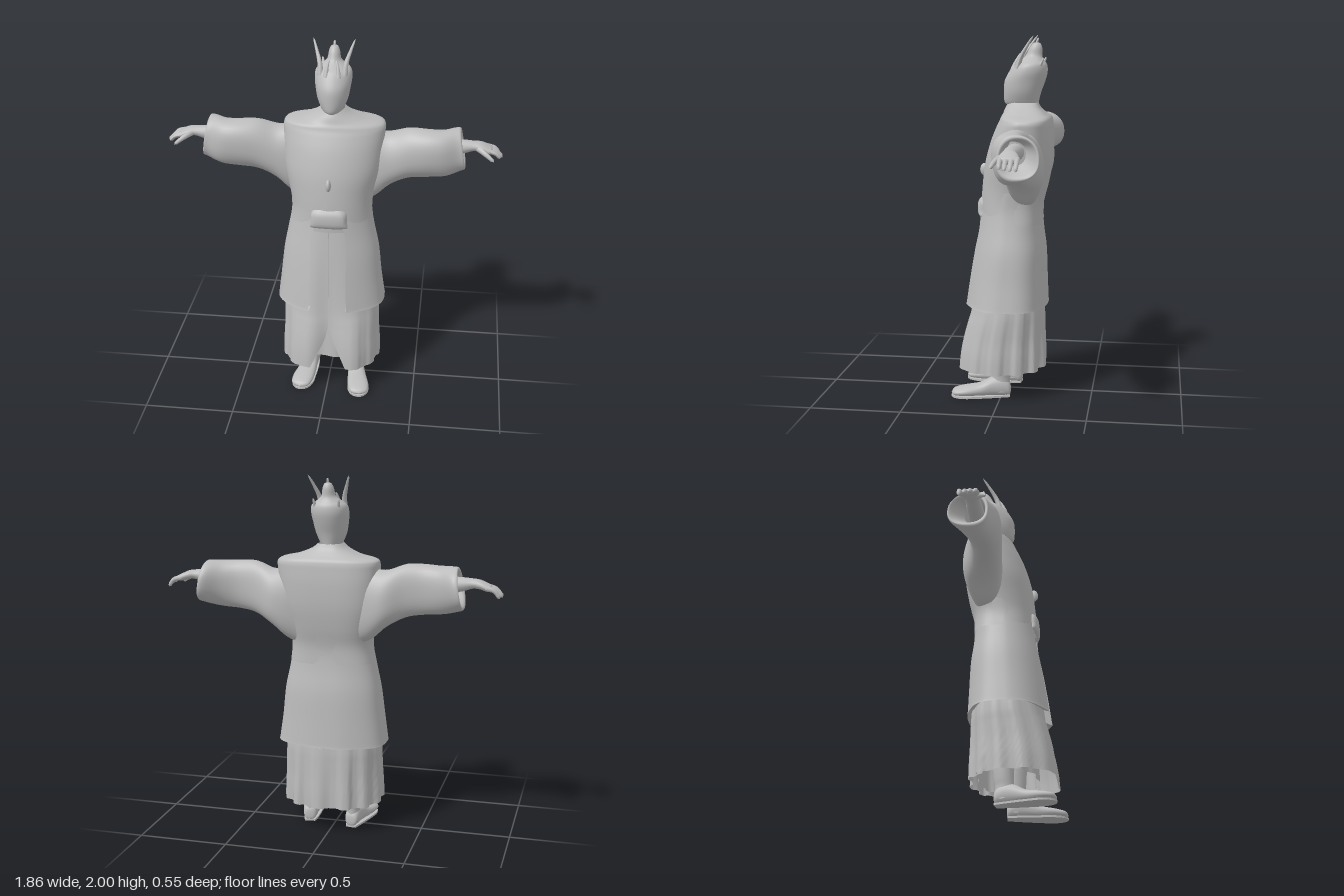
import * as THREE from 'three';

const cloth = new THREE.MeshStandardMaterial({ color: 0xbcbcbc, side: THREE.DoubleSide });
cloth.name = 'plain grey';

// Smooth interpolation through four values
const spline = (a, b, c, d, t) => {
  const m0 = (c - a) / 2, m1 = (d - b) / 2, t2 = t * t, t3 = t2 * t;
  return (2 * t3 - 3 * t2 + 1) * b + (t3 - 2 * t2 + t) * m0 + (-2 * t3 + 3 * t2) * c + (t3 - t2) * m1;
};

// Axis orders keep the handedness, so faces always point outwards
const place = {
  y: (p, t, q) => [p, t, q],
  x: (p, t, q) => [t, q, p],
  z: (p, t, q) => [q, p, t],
};

// Skin over rings [along, pMin, pMax, qMin, qMax, half angle of the opening];
// front and back set how square (below 1) or pointed (above 1) each half is
function loft(name, rings, { axis = 'y', sides = 40, steps = 4, front = 0.9, back = 0.85, fold = null } = {}) {
  const pos = [], index = [], n = rings.length;
  const open = rings.some(r => r[5]);
  const rows = (n - 1) * steps + 1, cols = open ? sides + 1 : sides;
  for (let i = 0; i < rows; i++) {
    const k = Math.min(Math.floor(i / steps), n - 2), f = i / steps - k;
    const at = j => rings[Math.max(0, Math.min(n - 1, j))];
    const [t, p0, p1, q0, q1, gap] = [0, 1, 2, 3, 4, 5].map(c =>
      spline(at(k - 1)[c] || 0, at(k)[c] || 0, at(k + 1)[c] || 0, at(k + 2)[c] || 0, f));
    for (let j = 0; j < cols; j++) {
      const g = Math.max(0, gap), a = g + (j / sides) * (2 * Math.PI - 2 * g);
      const s = Math.sin(a), c = Math.cos(a), e = c > 0 ? front : back;
      const m = 1 + (fold ? fold(a, i / (rows - 1)) : 0);
      pos.push(...place[axis](
        (p0 + p1) / 2 + (p1 - p0) / 2 * m * Math.sign(s) * Math.abs(s) ** e, t,
        (q0 + q1) / 2 + (q1 - q0) / 2 * m * Math.sign(c) * Math.abs(c) ** e));
    }
  }
  for (let i = 0; i < rows - 1; i++) for (let j = 0; j < sides; j++) {
    const j2 = (j + 1) % cols, a = i * cols + j, b = i * cols + j2;
    index.push(a, b, b + cols, a, b + cols, a + cols);
  }
  const geo = new THREE.BufferGeometry();
  geo.setAttribute('position', new THREE.Float32BufferAttribute(pos, 3));
  geo.setIndex(index);
  geo.computeVertexNormals();
  return named(name, geo);
}

function named(name, geo) {
  const mesh = new THREE.Mesh(geo, cloth);
  mesh.name = name;
  return mesh;
}

// Curved tube that narrows towards its tip
function taper(name, points, r0, r1) {
  const curve = new THREE.CatmullRomCurve3(points.map(p => new THREE.Vector3(...p)));
  const segs = 10, sides = 8, geo = new THREE.TubeGeometry(curve, segs, r0, sides);
  const p = geo.attributes.position, v = new THREE.Vector3();
  for (let i = 0; i < p.count; i++) {
    const u = Math.floor(i / (sides + 1)) / segs, c = curve.getPointAt(u);
    const k = u === 1 ? 0 : 1 + (r1 / r0 - 1) * u;
    v.fromBufferAttribute(p, i).sub(c).multiplyScalar(k).add(c);
    p.setXYZ(i, v.x, v.y, v.z);
  }
  geo.computeVertexNormals();
  return named(name, geo);
}

// Sleeve, forearm and hand on the +x side
function makeArm() {
  const arm = new THREE.Group();
  arm.name = 'arm';
  const sleeve = loft('sleeve', [
    [0.17, -0.22, -0.05, 1.08, 1.50], [0.24, -0.24, -0.035, 1.11, 1.49],
    [0.32, -0.245, -0.03, 1.18, 1.485], [0.42, -0.20, -0.02, 1.235, 1.52],
    [0.52, -0.185, -0.01, 1.255, 1.525], [0.61, -0.21, -0.015, 1.265, 1.52],
    [0.685, -0.26, -0.045, 1.285, 1.52], [0.715, -0.265, -0.052, 1.295, 1.515],
    [0.705, -0.25, -0.07, 1.32, 1.495], [0.62, -0.19, -0.06, 1.36, 1.48],
  ], { axis: 'x', fold: (a, u) => 0.04 * Math.sin(3 * a + 9 * u) * Math.sin(Math.PI * u) });
  // Slant the cuff so its lower edge reaches further out
  const p = sleeve.geometry.attributes.position;
  for (let i = 0; i < p.count; i++) {
    const x = p.getX(i);
    p.setX(i, x - 0.16 * (p.getY(i) - 1.4) * THREE.MathUtils.smoothstep(x, 0.5, 0.7));
  }
  sleeve.geometry.computeVertexNormals();
  arm.add(sleeve);
  arm.add(loft('forearmAndPalm', [
    [0.56, -0.175, -0.08, 1.375, 1.465], [0.70, -0.17, -0.085, 1.385, 1.465],
    [0.77, -0.165, -0.09, 1.405, 1.46], [0.81, -0.178, -0.085, 1.405, 1.455],
    [0.85, -0.188, -0.078, 1.395, 1.438], [0.87, -0.18, -0.09, 1.40, 1.428],
    [0.875, -0.14, -0.14, 1.415, 1.415],
  ], { axis: 'x', sides: 16, front: 1, back: 1 }));
  for (let i = 0; i < 4; i++) {
    const z = -0.175 + i * 0.026, end = 0.92 + [0, 0.012, 0.012, 0][i];
    arm.add(taper('finger', [[0.845, 1.418, z], [0.89, 1.405, z - 0.003 + i * 0.002], [end, 1.365 + i * 0.004, z]], 0.015, 0.009));
  }
  arm.add(taper('thumb', [[0.79, 1.43, -0.11], [0.835, 1.41, -0.07], [0.885, 1.375, -0.047]], 0.019, 0.009));
  return arm;
}

// Bare lower leg with a flat-soled shoe
function makeLeg(side) {
  const leg = new THREE.Group();
  leg.name = side > 0 ? 'leftLeg' : 'rightLeg';
  leg.add(loft('shin', [
    [0.03, -0.04, 0.04, -0.07, 0.03], [0.10, -0.037, 0.037, -0.07, 0.03],
    [0.18, -0.045, 0.045, -0.08, 0.03], [0.50, -0.06, 0.06, -0.10, 0.05],
  ], { sides: 20, front: 1, back: 1 }));
  leg.add(loft('shoe', [
    [-0.074, 0.04, 0.04, 0, 0], [-0.068, 0.008, 0.08, -0.032, 0.032],
    [-0.03, 0.004, 0.115, -0.042, 0.042], [0.03, 0.004, 0.11, -0.045, 0.045],
    [0.10, 0.004, 0.075, -0.052, 0.055], [0.18, 0.006, 0.06, -0.055, 0.066],
    [0.24, 0.01, 0.045, -0.04, 0.055], [0.258, 0.022, 0.025, 0.005, 0.012],
  ], { axis: 'z', sides: 20 }));
  const sole = new THREE.Shape();
  sole.moveTo(-0.03, 0.07);
  sole.bezierCurveTo(-0.05, 0, -0.05, -0.08, -0.056, -0.16);
  sole.bezierCurveTo(-0.058, -0.29, 0.068, -0.29, 0.068, -0.17);
  sole.bezierCurveTo(0.06, -0.08, 0.045, 0, 0.03, 0.07);
  const soleGeo = new THREE.ExtrudeGeometry(sole, { depth: 0.011, bevelEnabled: false });
  leg.add(named('sole', soleGeo.rotateX(-Math.PI / 2)));
  leg.position.set(side > 0 ? 0.155 : -0.115, 0, side > 0 ? 0.02 : -0.015);
  leg.rotation.y = side * 0.13;
  leg.scale.x = side;
  return leg;
}

export function createModel() {
  const model = new THREE.Group();
  model.name = 'robedFigure';

  // Coat: closed chest with broad flat shoulders
  model.add(loft('coatBody', [
    [0.98, -0.235, 0.235, -0.212, 0.128], [1.08, -0.22, 0.225, -0.215, 0.128],
    [1.18, -0.235, 0.235, -0.24, 0.122], [1.30, -0.262, 0.267, -0.262, 0.107],
    [1.42, -0.27, 0.28, -0.268, 0.075], [1.50, -0.272, 0.288, -0.264, 0.043],
    [1.535, -0.272, 0.288, -0.26, 0.026], [1.556, -0.255, 0.265, -0.252, 0.018],
    [1.575, -0.17, 0.18, -0.23, 0.008], [1.605, -0.1, 0.105, -0.2, -0.003],
    [1.635, -0.065, 0.065, -0.185, -0.02],
  ], { front: 1, back: 0.65, sides: 56 }));

  // Coat skirt, open at the front
  model.add(loft('coatSkirt', [
    [0.535, -0.27, 0.275, -0.21, 0.17, 0.42], [0.515, -0.303, 0.312, -0.242, 0.222, 0.4],
    [0.53, -0.303, 0.312, -0.243, 0.222, 0.4], [0.66, -0.287, 0.292, -0.238, 0.203, 0.41],
    [0.82, -0.268, 0.273, -0.232, 0.176, 0.43], [0.95, -0.242, 0.245, -0.216, 0.15, 0.45],
    [1.06, -0.223, 0.228, -0.213, 0.134, 0.3], [1.16, -0.23, 0.233, -0.236, 0.124, 0.04],
  ], { front: 1.12, back: 0.8, sides: 56, fold: (a, u) => 0.018 * Math.cos(6 * a) * (1 - u) }));

  // Pleated robe, drawn in at the middle of the front and slit at the bottom
  const pleats = (a, u) => {
    const pleat = 0.05 * Math.tanh(3 * Math.sin(13 * a)) * (0.6 - 0.4 * Math.cos(a));
    const middle = Math.min(a, 2 * Math.PI - a) / 0.35;
    return (1 - u) * (pleat - 0.45 * Math.exp(-middle * middle));
  };
  model.add(loft('robe', [
    [0.155, -0.265, 0.285, -0.228, 0.28, 0.42], [0.24, -0.265, 0.285, -0.228, 0.27, 0.28],
    [0.33, -0.262, 0.28, -0.226, 0.25, 0.1], [0.42, -0.262, 0.278, -0.225, 0.222, 0.01],
    [0.52, -0.26, 0.27, -0.222, 0.192, 0.01], [0.80, -0.225, 0.23, -0.2, 0.148, 0.01],
    [1.08, -0.19, 0.19, -0.17, 0.1, 0.01],
  ], { sides: 120, front: 1, fold: pleats }));
  model.add(loft('lining', [
    [0.17, -0.22, 0.235, -0.19, 0.13], [0.35, -0.22, 0.23, -0.19, 0.12], [0.55, -0.2, 0.2, -0.17, 0.1],
  ], { sides: 90, fold: a => 0.05 * Math.sin(11 * a) }));

  // Draped sash and its knot
  model.add(loft('sash', [
    [0.995, -0.085, 0.085, 0.05, 0.11], [1.01, -0.108, 0.112, 0.05, 0.135],
    [1.04, -0.10, 0.105, 0.05, 0.146], [1.09, -0.095, 0.1, 0.05, 0.142], [1.125, -0.075, 0.08, 0.05, 0.115],
  ], { front: 0.6, back: 0.6, sides: 28, fold: (a, u) => 0.03 * Math.sin(7 * a + 5 * u) }));
  const knot = named('knot', new THREE.SphereGeometry(1, 14, 10));
  knot.scale.set(0.015, 0.035, 0.025);
  knot.position.set(0, 1.26, 0.115);
  model.add(knot);

  // Arms, the right one held a little higher
  const left = makeArm(), right = makeArm();
  left.name = 'leftArm';
  right.name = 'rightArm';
  right.scale.x = -1;
  right.position.y = 0.015;
  model.add(left, right, makeLeg(1), makeLeg(-1));

  // Head with the hair drawn up into a topknot
  model.add(loft('head', [
    [1.56, -0.065, 0.065, -0.19, -0.03], [1.612, -0.047, 0.047, -0.187, -0.02],
    [1.635, -0.06, 0.06, -0.187, 0.002], [1.69, -0.083, 0.083, -0.2, 0.006],
    [1.75, -0.095, 0.095, -0.222, 0.002], [1.80, -0.102, 0.102, -0.235, -0.022],
    [1.84, -0.095, 0.095, -0.232, -0.05], [1.865, -0.065, 0.065, -0.215, -0.085],
    [1.89, -0.038, 0.038, -0.205, -0.115], [1.93, -0.03, 0.03, -0.205, -0.135],
    [1.955, -0.018, 0.018, -0.195, -0.155], [1.96, 0, 0, -0.175, -0.175],
  ], { sides: 28, front: 1.05, back: 0.95 }));
  model.add(taper('topPin', [[0, 1.93, -0.165], [0, 1.96, -0.175], [0, 1.985, -0.185]], 0.01, 0.005));

  // Crown: tall curved horns, short front and back points
  for (const s of [-1, 1]) {
    model.add(taper('crownHorn', [[s * 0.065, 1.82, -0.075], [s * 0.07, 1.88, -0.095], [s * 0.09, 1.94, -0.13], [s * 0.113, 2.0, -0.17]], 0.017, 0.004));
    model.add(taper('crownPoint', [[s * 0.035, 1.815, -0.05], [s * 0.03, 1.86, -0.067], [s * 0.02, 1.905, -0.09]], 0.015, 0.004));
    model.add(taper('crownBackPoint', [[s * 0.06, 1.82, -0.19], [s * 0.065, 1.85, -0.207], [s * 0.07, 1.88, -0.22]], 0.014, 0.004));
  }
  return model;
}
